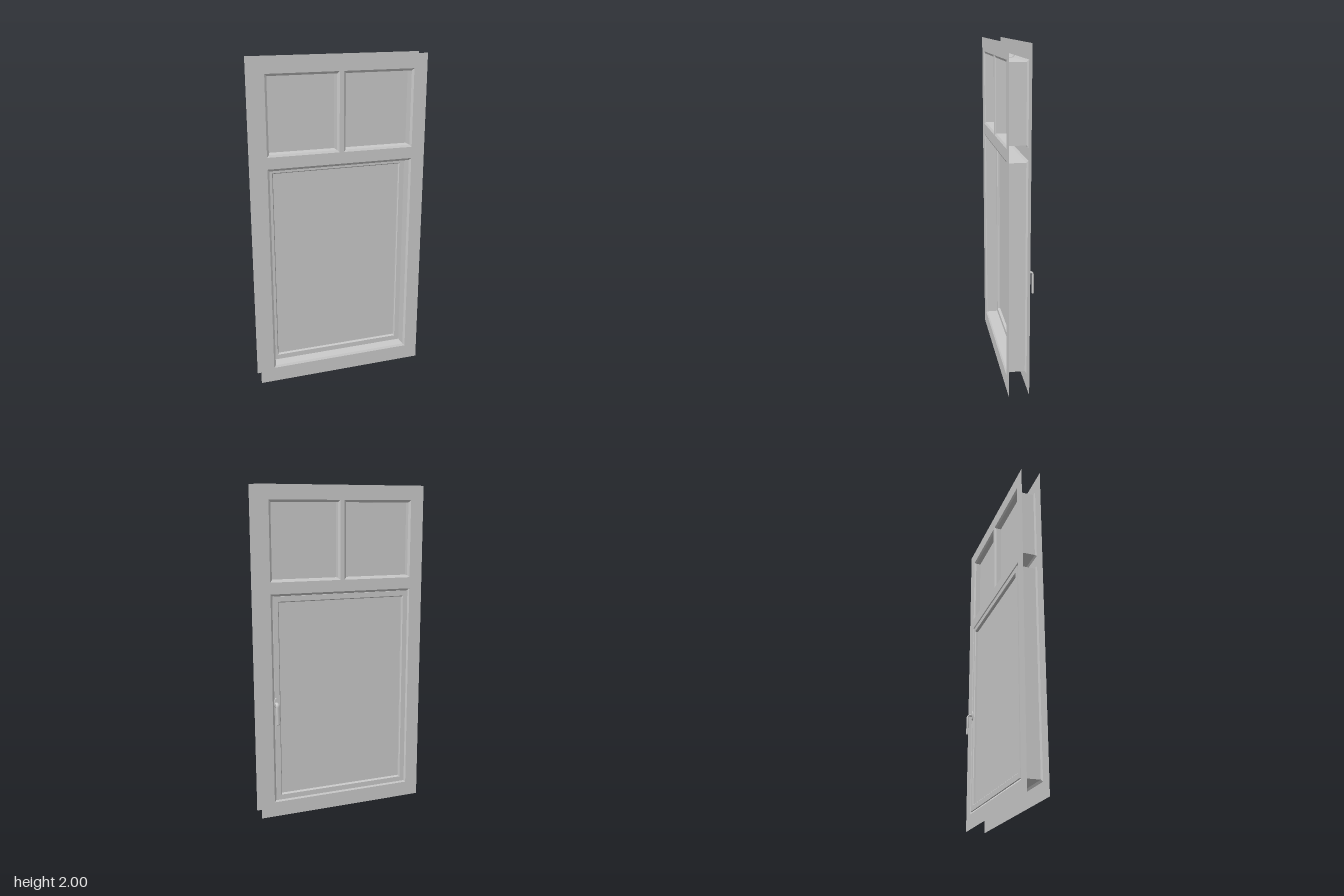
import * as THREE from 'three';

const material = new THREE.MeshStandardMaterial({ color: 0xcccccc, side: THREE.DoubleSide });
const FRONT = 0.08, BACK = -0.04;

// Openings as [x0, x1, y0, y1] at the outer edge of their bevels
const LOWER = [-0.447, 0.447, 0.093, 1.378];
const UPPER = [[-0.447, -0.013, 1.447, 1.914], [0.013, 0.447, 1.447, 1.914]];

const inset = ([x0, x1, y0, y1], d) => [x0 + d, x1 - d, y0 + d, y1 - d];

function addMesh(parent, name, geometry) {
  const mesh = new THREE.Mesh(geometry, material);
  mesh.name = name;
  parent.add(mesh);
  return mesh;
}

function tracePath(path, [x0, x1, y0, y1]) {
  path.moveTo(x0, y0);
  path.lineTo(x1, y0);
  path.lineTo(x1, y1);
  path.lineTo(x0, y1);
  path.closePath();
  return path;
}

// Mitred moulding: carries a profile of [inset, z] points around a rectangle
function moulding(rect, profile) {
  const positions = [];
  const rings = profile.map(([d, z]) => {
    const [x0, x1, y0, y1] = inset(rect, d);
    return [[x0, y0, z], [x1, y0, z], [x1, y1, z], [x0, y1, z]];
  });
  for (let i = 0; i < rings.length - 1; i++) {
    for (let k = 0; k < 4; k++) {
      const n = (k + 1) % 4;
      const a = rings[i][k], b = rings[i][n], c = rings[i + 1][n], d = rings[i + 1][k];
      positions.push(...a, ...b, ...c, ...a, ...c, ...d);
    }
  }
  const geometry = new THREE.BufferGeometry();
  geometry.setAttribute('position', new THREE.Float32BufferAttribute(positions, 3));
  geometry.computeVertexNormals();
  return geometry;
}

function pane(parent, name, [x0, x1, y0, y1], z, depth) {
  const mesh = addMesh(parent, name, new THREE.BoxGeometry(x1 - x0, y1 - y0, depth));
  mesh.position.set((x0 + x1) / 2, (y0 + y1) / 2, z);
}

function createHandle() {
  const handle = new THREE.Group();
  handle.name = 'handle';

  // Oval backplate against the sash
  const plate = addMesh(handle, 'handlePlate', new THREE.CylinderGeometry(0.012, 0.013, 0.008, 24));
  plate.rotation.x = -Math.PI / 2;
  plate.scale.z = 2.4;
  plate.position.set(0, 0.727, -0.044);

  // Two screw heads
  for (const y of [0.707, 0.747]) {
    const screw = addMesh(handle, 'handleScrew', new THREE.CylinderGeometry(0.004, 0.004, 0.002, 12));
    screw.rotation.x = Math.PI / 2;
    screw.position.set(0, y, -0.0485);
  }

  // Stem turning down into the grip
  const path = new THREE.CurvePath();
  const v = (y, z) => new THREE.Vector3(0, y, z);
  path.add(new THREE.LineCurve3(v(0.727, -0.042), v(0.727, -0.058)));
  path.add(new THREE.QuadraticBezierCurve3(v(0.727, -0.058), v(0.727, -0.075), v(0.708, -0.075)));
  path.add(new THREE.LineCurve3(v(0.708, -0.075), v(0.6, -0.076)));
  const grip = addMesh(handle, 'handleGrip', new THREE.TubeGeometry(path, 48, 0.006, 14, false));
  grip.scale.x = 1.7;

  // Rounded end of the grip
  const end = addMesh(handle, 'handleEnd', new THREE.SphereGeometry(0.006, 14, 10));
  end.scale.set(1.7, 0.8, 1);
  end.position.set(0, 0.6, -0.076);

  handle.position.x = 0.427;
  return handle;
}

export function createModel() {
  const model = new THREE.Group();
  model.name = 'window';

  // Front and back faces of the frame, open at the outer edge
  const face = tracePath(new THREE.Shape(), [-0.53, 0.53, 0, 2]);
  for (const rect of [LOWER, ...UPPER]) face.holes.push(tracePath(new THREE.Path(), rect));
  addMesh(model, 'frameFront', new THREE.ShapeGeometry(face)).position.z = FRONT;
  const back = addMesh(model, 'frameBack', new THREE.ShapeGeometry(face));
  back.rotation.y = Math.PI;
  back.position.z = BACK;

  // Bevelled reveals lining each opening
  const reveal = [[0, FRONT], [0.013, 0.073], [0.013, -0.031], [0, BACK]];
  addMesh(model, 'lowerReveal', moulding(LOWER, reveal));
  for (const rect of UPPER) {
    addMesh(model, 'upperReveal', moulding(rect, reveal));
    pane(model, 'upperPane', inset(rect, 0.013), 0.007, 0.014);
  }

  // Opening sash, flush with the back of the frame
  const sash = [
    [0, 0.004], [0, BACK], [0.031, BACK], [0.036, -0.035],
    [0.036, -0.001], [0.031, 0.004], [0, 0.004],
  ];
  const sashRect = inset(LOWER, 0.013);
  addMesh(model, 'sash', moulding(sashRect, sash));
  pane(model, 'sashPane', inset(sashRect, 0.036), -0.017, 0.01);

  model.add(createHandle());
  return model;
}
